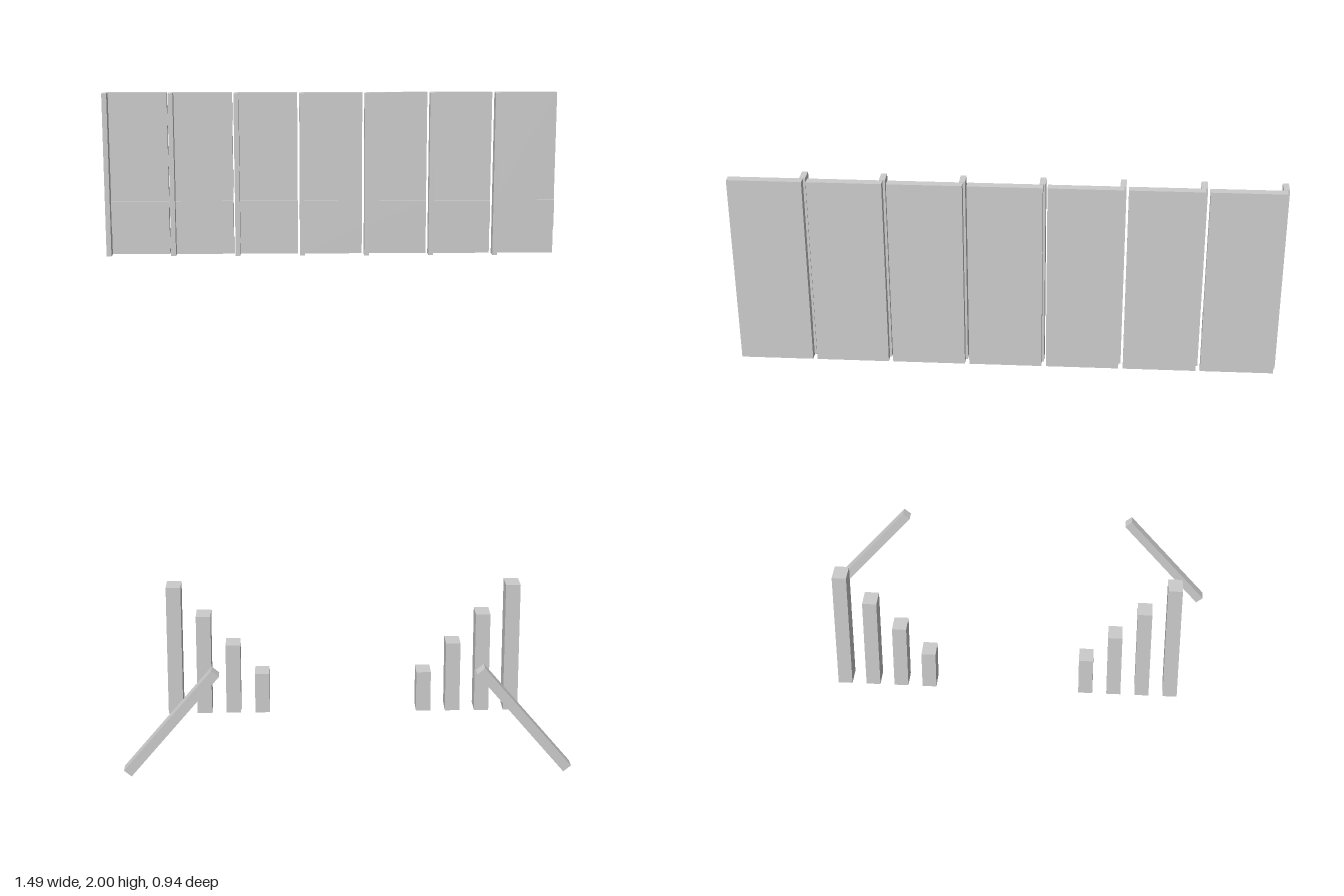
import * as THREE from 'three';

export function createModel() {
  const model = new THREE.Group();
  model.name = 'model';
  const grey = new THREE.MeshStandardMaterial({ color: 0xcccccc });
  grey.name = 'light grey';

  function add(name, geometry, x, y, z) {
    const mesh = new THREE.Mesh(geometry, grey);
    mesh.name = name;
    mesh.position.set(x, y, z);
    model.add(mesh);
    return mesh;
  }

  // Wall panel section (z, y) with a shallow raised band near the bottom
  const back = -0.467, front = -0.441, band = -0.431;
  const section = [
    [back, 1.47], [front, 1.47], [front, 1.56], [band, 1.56],
    [band, 1.647], [front, 1.647], [front, 2], [back, 2],
  ];
  const panelShape = new THREE.Shape(section.map(([z, y]) => new THREE.Vector2(-z, y)));
  const panelWidth = 0.201;
  const panelGeometry = new THREE.ExtrudeGeometry(panelShape, { depth: panelWidth, bevelEnabled: false });
  panelGeometry.rotateY(Math.PI / 2); // section runs along x, shape x becomes -z

  // Seven panels, each with an upright fin at its right-hand edge
  const pitch = 0.2133;
  const finGeometry = new THREE.BoxGeometry(0.016, 0.53, 0.047);
  for (let i = 0; i < 7; i++) {
    add(`wallPanel${i + 1}`, panelGeometry, -0.739 + i * pitch, 0, 0);
    add(`wallFin${i + 1}`, finGeometry, -0.737 + i * pitch, 1.735, -0.4155);
  }

  // Two rows of stepped posts, taller towards the outside
  const heights = [0.137, 0.238, 0.339, 0.44];
  heights.forEach((h, i) => {
    const post = new THREE.BoxGeometry(0.048, h, 0.067);
    add(`rightPost${i + 1}`, post, -0.239 - i * 0.0957, h / 2, -0.056);
    add(`leftPost${i + 1}`, post, 0.295 + i * 0.0967, h / 2, -0.056);
  });

  // Slanted bars in front, leaning towards the middle
  const barGeometry = new THREE.BoxGeometry(0.419, 0.03, 0.036);
  const tilt = THREE.MathUtils.degToRad(50);
  add('rightBar', barGeometry, -0.505, 0.185, 0.45).rotation.z = tilt;
  add('leftBar', barGeometry, 0.562, 0.185, 0.45).rotation.z = -tilt;

  return model;
}
